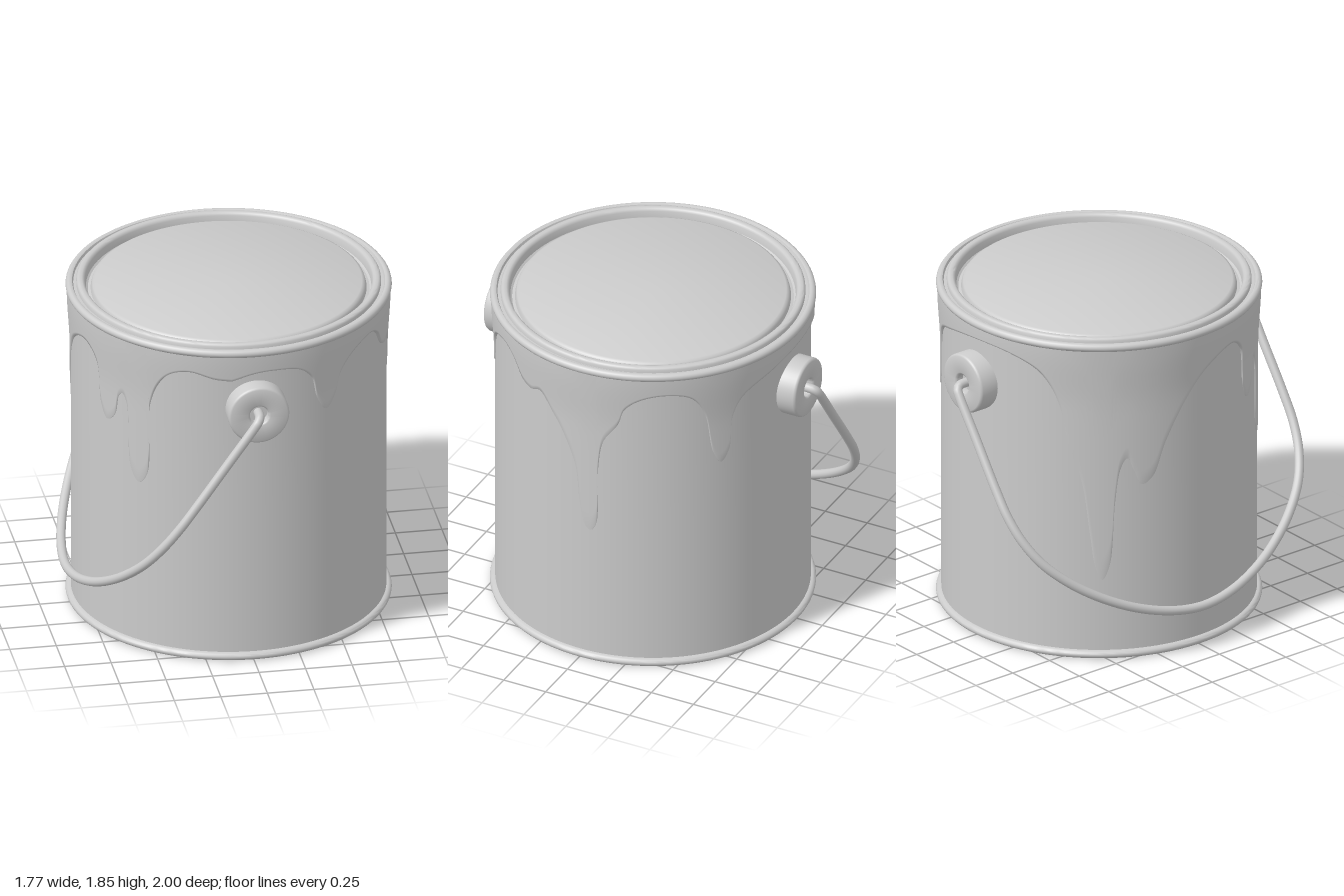
import * as THREE from 'three';
import { toCreasedNormals } from 'three/addons/utils/BufferGeometryUtils.js';

const CX = 0.015; // can axis, shifted so the bail fits the centred bounds
const R = 0.835;

function lathe(points, segments = 96) {
  const g = new THREE.LatheGeometry(points.map(([r, y]) => new THREE.Vector2(r, y)), segments);
  return toCreasedNormals(g, 0.7);
}

// Half-round bead bulging outward between two heights
function bead(rInner, rOuter, y0, y1, n = 8) {
  const out = [];
  for (let i = 0; i <= n; i++) {
    const t = -Math.PI / 2 + (Math.PI * i) / n;
    out.push([rInner + (rOuter - rInner) * Math.cos(t), (y0 + y1) / 2 + ((y1 - y0) / 2) * Math.sin(t)]);
  }
  return out;
}

// Lower edge of the spilled paint: [azimuth in degrees from the front, height]
const DRIPS = [
  [-9, 1.65], [-1, 1.69], [6, 1.7], [16, 1.68], [21.5, 1.61], [24, 1.48], [28, 1.4], [32, 1.47], [34.5, 1.59],
  [41, 1.68], [51.5, 1.72], [57.5, 1.68], [63, 1.58], [67.5, 1.555], [72.5, 1.575], [78, 1.48],
  [82, 1.4], [88, 1.2], [90, 0.96], [92, 0.835], [94.2, 0.81], [96.3, 0.86], [97, 1.2], [99, 1.38],
  [104.5, 1.5], [107, 1.6], [113, 1.67], [122, 1.7], [131, 1.67], [136.5, 1.55], [139.8, 1.3],
  [142.8, 1.23], [146, 1.3], [147.5, 1.5], [152, 1.61], [166, 1.69], [182, 1.73], [197, 1.72], [208, 1.66],
  [213, 1.58], [217, 1.45], [220, 1.25], [225, 1.02], [228, 0.71], [230, 0.52], [232.3, 0.455],
  [235, 0.54], [237, 0.91], [239, 1.1], [241.5, 1.16], [244, 1.08], [247, 1.0], [251, 1.04], [256, 1.23],
  [264, 1.44], [274, 1.6], [287, 1.67], [294, 1.6], [296.5, 1.36], [300, 1.28], [304, 1.33],
  [306, 1.45], [308, 1.47], [310, 1.42], [312, 1.05], [315.5, 0.98], [319, 1.05], [320, 1.45],
  [324, 1.6], [329, 1.67], [336, 1.695], [345, 1.66],
];

function paintGeometry() {
  const k = (Math.PI / 180) * R;
  const pts = [...DRIPS, [351, 1.65]].map(([a, y]) => new THREE.Vector3(a * k, y, 0));
  const N = 1000, rows = 10, top = 1.79;
  const edge = new THREE.CatmullRomCurve3(pts, false, 'centripetal');
  edge.arcLengthDivisions = 3000;
  const samples = edge.getSpacedPoints(N).slice(0, N);
  const pos = [], idx = [];
  for (const p of samples) {
    const a = p.x / R;
    for (let j = 0; j <= rows + 1; j++) {
      const y = j > rows ? p.y - 0.004 : top + (p.y - top) * (j / rows);
      // thin film that flares out under the rim and closes onto the wall at its edge
      const r = j > rows ? R - 0.003 : R + 0.006 + 0.016 * THREE.MathUtils.smoothstep(y, 1.45, 1.79);
      pos.push(r * Math.sin(a), y, r * Math.cos(a));
    }
  }
  const w = rows + 2;
  for (let i = 0; i < N; i++) {
    for (let j = 0; j <= rows; j++) {
      const a = i * w + j, b = ((i + 1) % N) * w + j;
      idx.push(a, a + 1, b, b, a + 1, b + 1);
    }
  }
  const g = new THREE.BufferGeometry();
  g.setAttribute('position', new THREE.Float32BufferAttribute(pos, 3));
  g.setIndex(idx);
  g.computeVertexNormals();
  return g;
}

export function createModel() {
  const model = new THREE.Group();
  model.name = 'paintCan';
  const mat = new THREE.MeshStandardMaterial({ color: 0xcccccc });
  const thin = new THREE.MeshStandardMaterial({ color: 0xcccccc, side: THREE.DoubleSide });
  const can = new THREE.Group();
  can.name = 'can';
  can.position.x = CX;
  model.add(can);
  const add = (name, geo, parent = can, material = mat) => {
    const m = new THREE.Mesh(geo, material);
    m.name = name;
    parent.add(m);
    return m;
  };

  // Can: pressed base, bottom bead, wall, top bead and rim lip
  add('canBody', lathe([
    [0, 0.028], [0.69, 0.028], [0.705, 0.032], [0.73, 0.05], [0.79, 0.05], [0.815, 0.03], [0.822, 0.004],
    ...bead(R, 0.863, 0, 0.045),
    [R, 0.05], [R, 0.9], [R, 1.783],
    ...bead(R + 0.003, 0.863, 1.785, 1.832),
    [0.828, 1.828], [0.822, 1.815], [0.8, 1.815],
  ], 128));

  // Lid: raised ring, groove and plateau
  add('lid', lathe([
    [0.806, 1.80], [0.806, 1.832], [0.8, 1.841], [0.792, 1.845], [0.776, 1.845], [0.766, 1.84],
    [0.76, 1.828], [0.755, 1.79], [0.745, 1.782], [0.73, 1.785], [0.725, 1.805], [0.719, 1.818],
    [0.705, 1.825], [0, 1.825],
  ], 128));

  add('spilledPaint', paintGeometry(), can, thin);

  // Handle mounts, front and back
  const earGeo = lathe([
    [0.163, 0.78], [0.163, 0.915], [0.159, 0.925], [0.15, 0.93], [0.062, 0.93],
    [0.054, 0.926], [0.05, 0.918], [0.05, 0.885], [0, 0.885],
  ], 48).rotateX(Math.PI / 2);
  for (const [name, turn] of [['frontHandleMount', 0], ['backHandleMount', Math.PI]]) {
    const ear = add(name, earGeo);
    ear.position.y = 1.48;
    ear.rotation.y = turn;
  }

  // Wire bail hanging towards -x: [distance from the pivot, z]
  const half = [
    [0, 0.875], [0, 0.93], [0.006, 0.955], [0.024, 0.971], [0.05, 0.975], [0.3, 0.975], [0.6, 0.975], [0.75, 0.968],
    [0.9, 0.936], [1.05, 0.865], [1.2, 0.735], [1.33, 0.57], [1.43, 0.39], [1.5, 0.19],
  ];
  const path = [...half, [1.525, 0], ...half.map(([s, z]) => [s, -z]).reverse()];
  const dir = new THREE.Vector2(-0.88, -1.245).normalize();
  const curve = new THREE.CatmullRomCurve3(
    path.map(([s, z]) => new THREE.Vector3(dir.x * s, 1.48 + dir.y * s, z)), false, 'centripetal');
  add('handle', new THREE.TubeGeometry(curve, 240, 0.025, 14, false));

  return model;
}
